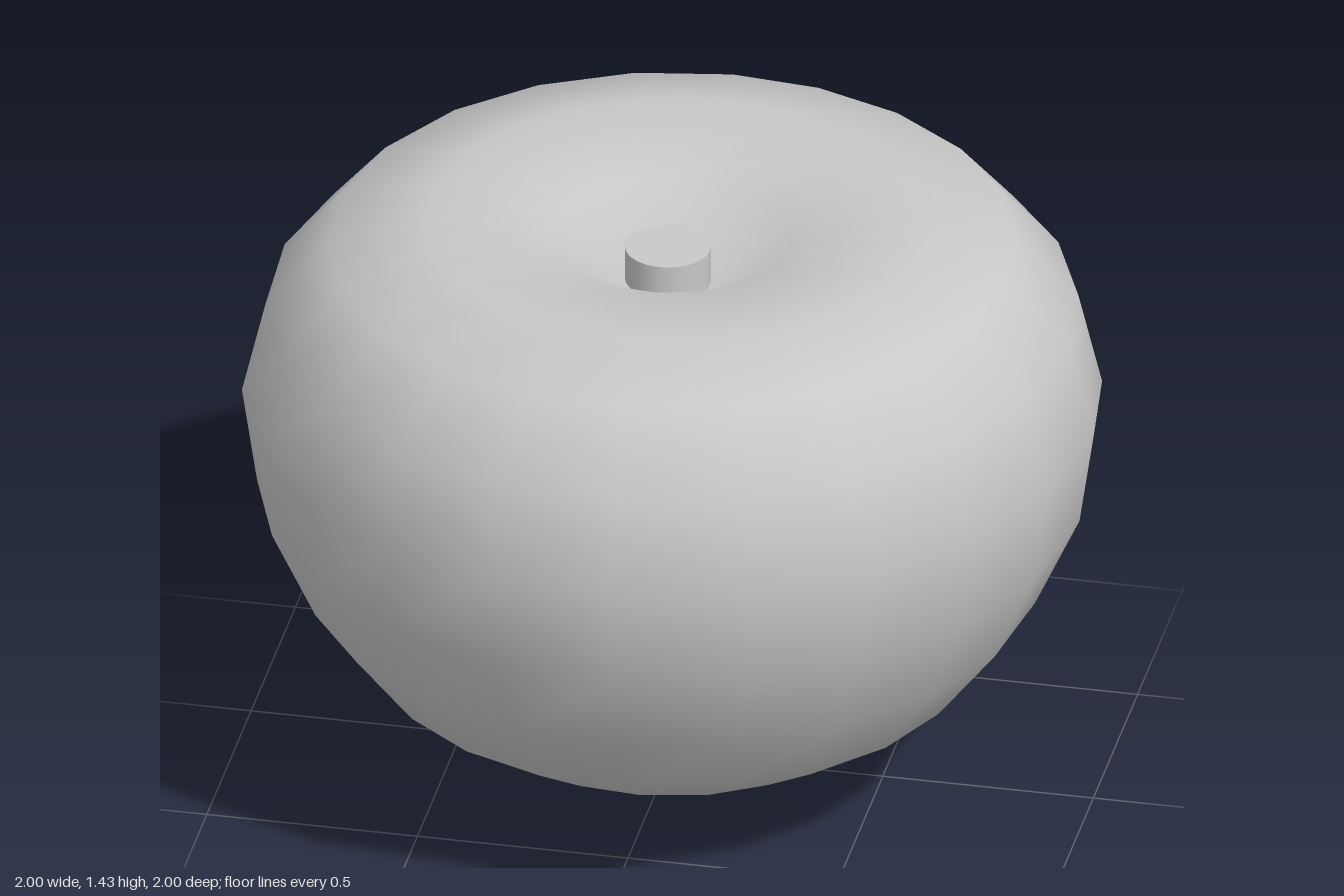
import * as THREE from 'three';

// Rings from the bottom up: radius, height
const RINGS = [
  [0.49, 0.165], [0.71, 0.305], [0.86, 0.5], [0.965, 0.73], [1.0, 0.97],
  [0.945, 1.2], [0.8, 1.37], [0.57, 1.43], [0.28, 1.39],
];

// Slightly uneven spacing of the ring corners, in degrees from -z towards +x
const ANGLES = [
  -1.7, 13.3, 28.9, 45, 59.8, 75.4, 89.4, 107.5, 123.9, 141.2, 158,
  176.6, 193.8, 210.4, 226.6, 242.7, 258.5, 275.7, 291.7, 308.9, 325.2, 341.9,
];

function bodyGeometry() {
  const n = ANGLES.length;
  const positions = [];
  const index = [];
  for (const [r, y] of RINGS) {
    for (const deg of ANGLES) {
      const a = THREE.MathUtils.degToRad(deg);
      positions.push(r * Math.sin(a), y, -r * Math.cos(a));
    }
  }
  // Off-centre bottom tip and sunken top pole
  const bottom = positions.length / 3;
  positions.push(-0.02, 0, -0.06);
  const top = bottom + 1;
  positions.push(-0.01, 1.2, 0);

  const last = (RINGS.length - 1) * n;
  for (let i = 0; i < n; i++) {
    const j = (i + 1) % n;
    index.push(bottom, i, j);
    for (let k = 0; k < last; k += n) {
      index.push(k + i, k + n + i, k + j, k + j, k + n + i, k + n + j);
    }
    index.push(last + i, top, last + j);
  }
  const geometry = new THREE.BufferGeometry();
  geometry.setAttribute('position', new THREE.Float32BufferAttribute(positions, 3));
  geometry.setIndex(index);
  geometry.computeVertexNormals();
  return geometry;
}

export function createModel() {
  const model = new THREE.Group();
  model.name = 'apple';
  const grey = new THREE.MeshStandardMaterial({ color: 0xc8c8c8 });
  grey.name = 'light grey';

  // Rounded fruit with a dimple on top
  const body = new THREE.Mesh(bodyGeometry(), grey);
  body.name = 'fruitBody';
  model.add(body);

  // Short stem standing in the dimple
  const stem = new THREE.Mesh(new THREE.CylinderGeometry(0.1, 0.1, 0.155, 32), grey);
  stem.name = 'stem';
  stem.position.set(-0.01, 1.2775, 0);
  model.add(stem);

  return model;
}
